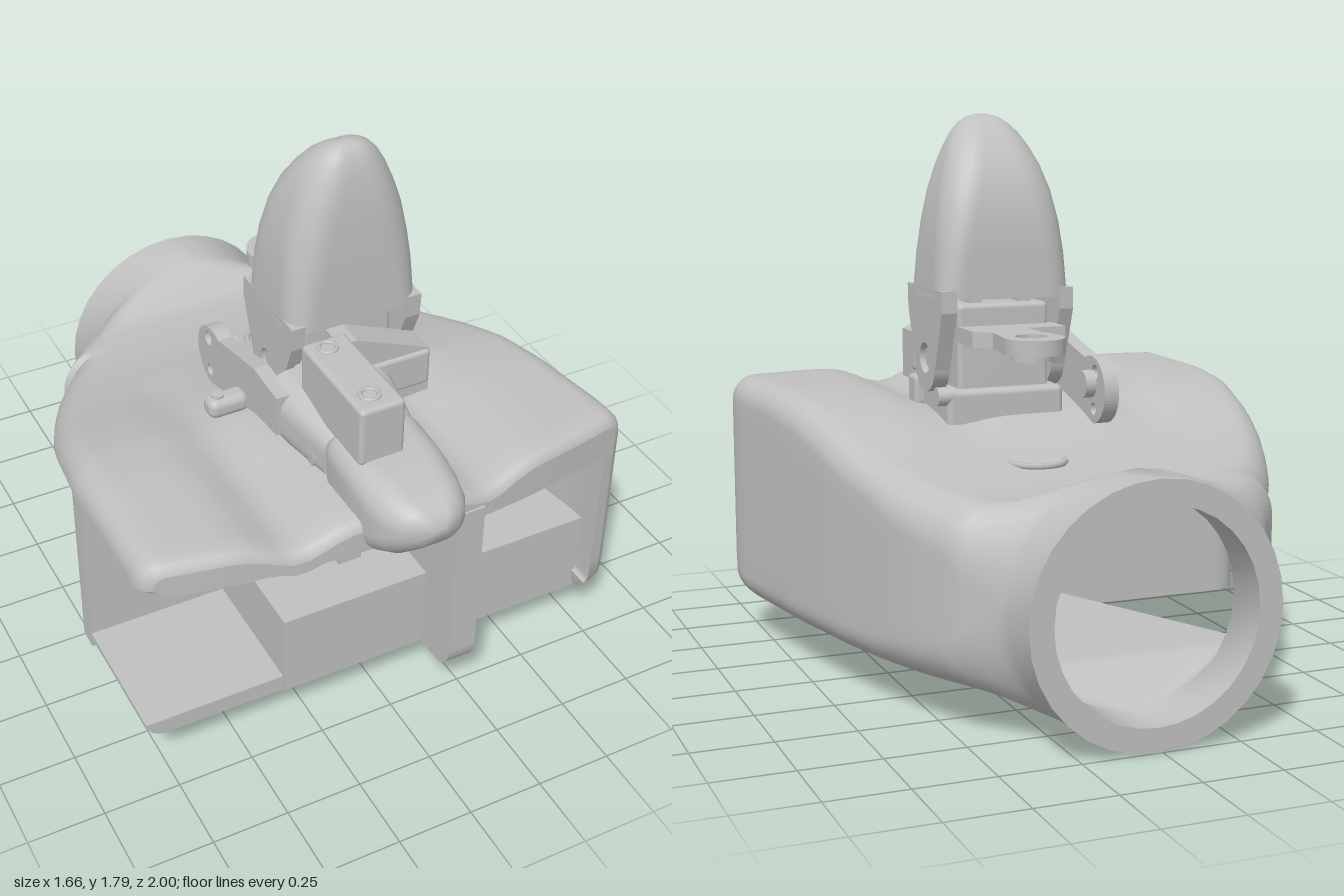
import * as THREE from 'three';
import { toCreasedNormals } from 'three/addons/utils/BufferGeometryUtils.js';
import { RoundedBoxGeometry } from 'three/addons/geometries/RoundedBoxGeometry.js';

const grey = new THREE.MeshStandardMaterial({ color: 0xc0c0c0, side: THREE.DoubleSide });
grey.name = 'light grey plastic';

const clamp = (v) => Math.min(1, Math.max(0, v));

// linear lookup in a short list of [position, value]
function at(table, t) {
  if (t <= table[0][0]) return table[0][1];
  for (let i = 1; i < table.length; i++) {
    const [a, va] = table[i - 1], [b, vb] = table[i];
    if (t <= b) return va + (vb - va) * (t - a) / (b - a);
  }
  return table[table.length - 1][1];
}

// rounded rectangle loop, clockwise from the upper left corner
const ARC = 8, SIDES = [32, 8, 12, 4];
function loop(x0, x1, y0, y1, r) {
  r = Math.min(r, (x1 - x0) / 2, (y1 - y0) / 2);
  const c = [[x0 + r, y1 - r], [x1 - r, y1 - r], [x1 - r, y0 + r], [x0 + r, y0 + r]];
  const corner = (k, i) => {
    const a = Math.PI - k * Math.PI / 2 - (i / ARC) * Math.PI / 2;
    return [c[k % 4][0] + r * Math.cos(a), c[k % 4][1] + r * Math.sin(a)];
  };
  const pts = [];
  for (let k = 0; k < 4; k++) {
    for (let i = 0; i <= ARC; i++) pts.push(corner(k, i));
    const a = corner(k, ARC), b = corner((k + 1) % 4, 0);
    for (let i = 1; i < SIDES[k]; i++) {
      const t = i / SIDES[k];
      pts.push([a[0] + (b[0] - a[0]) * t, a[1] + (b[1] - a[1]) * t]);
    }
  }
  return pts;
}

function fromTriangles(pos) {
  const g = new THREE.BufferGeometry();
  g.setAttribute('position', new THREE.Float32BufferAttribute(pos, 3));
  return toCreasedNormals(g, 0.7);
}
const quad = (out, a, b, c, d) => out.push(...a, ...b, ...c, ...a, ...c, ...d);

// closed solid through rounded sections [z, x0, x1, y0, y1, r]
function loft(sections) {
  const out = [];
  const rings = sections.map(([z, ...s]) => loop(...s).map(([x, y]) => [x, y, z]));
  const n = rings[0].length;
  for (let i = 0; i + 1 < rings.length; i++)
    for (let j = 0; j < n; j++) {
      const k = (j + 1) % n;
      quad(out, rings[i][j], rings[i + 1][j], rings[i + 1][k], rings[i][k]);
    }
  [0, rings.length - 1].forEach((e) => {
    const [z, x0, x1, y0, y1] = sections[e], m = [(x0 + x1) / 2, (y0 + y1) / 2, z];
    for (let j = 0; j < n; j++) {
      const a = rings[e][j], b = rings[e][(j + 1) % n];
      out.push(...m, ...(e ? b : a), ...(e ? a : b));
    }
  });
  return fromTriangles(out);
}

// hollow palm: outer and inner skins with rims wherever the skin is cut away
const XL = [[-0.84, -0.38], [-0.8, -0.4], [-0.72, -0.475], [-0.68, -0.5], [-0.6, -0.565], [-0.575, -0.54], [-0.5, -0.605], [-0.4, -0.665], [-0.285, -0.715], [-0.17, -0.76], [-0.05, -0.79], [0.2, -0.83]];
const XR = [[-0.84, 0.41], [-0.8, 0.43], [-0.72, 0.51], [-0.68, 0.535], [-0.5, 0.61], [-0.13, 0.71], [0.19, 0.775], [0.69, 0.83]];
const YT = [[-0.84, 0.8], [-0.8, 0.775], [-0.72, 0.71], [-0.68, 0.7], [-0.55, 0.708], [-0.4, 0.73], [-0.2, 0.78], [0, 0.845], [0.15, 0.882], [0.35, 0.9]];
const YB = [[-0.84, 0.005], [-0.8, 0.035], [-0.72, 0.115], [-0.68, 0.14]];
const RAD = [[-0.84, 0.397], [-0.68, 0.15], [-0.3, 0.1], [0.82, 0.08]];
const THICK = [[-0.84, 0.075], [-0.7, 0.05], [-0.4, 0.05], [0, 0.075]];
function palmShell() {
  const CUT = -0.58, out = [];
  const zs = [-1, -0.84, -0.82, -0.8, -0.76, -0.72, -0.7, -0.68, -0.63, -0.6, CUT];
  for (let i = 1; i <= 24; i++) zs.push(CUT + i * (0.78 - CUT) / 24);
  zs.push(0.8, 0.813, 0.82);
  const skin = (z, t, ceiling) => loop(at(XL, z) + t, at(XR, z) - t, at(YB, z) + t, at(YT, z) - t, Math.max(at(RAD, z) - t, 0.015))
    .map(([x, y]) => {
      const g = (c) => Math.exp(-(((x - c) / 0.11) ** 2));
      const dip = y > 0.5 ? 0.06 * (g(-0.36) + g(0.28)) * clamp((z + 0.3) / 0.7) : 0;
      const bow = 0.1 * (x / 0.83) ** 2 + 0.08 * clamp((0.26 - y) / 0.12) ** 2;
      return [x, Math.min(y - dip, ceiling(x)), z - bow * clamp((z - 0.2) / 0.6)];
    });
  const edge = [[0.78, 0], [0.8, 0.006], [0.813, 0.016], [0.82, 0.035]];
  const outer = zs.map((z) => skin(z, at(edge, z), () => 1));
  const inner = zs.map((z) => skin(z, at(THICK, z), (x) => (x < 0.2 ? 0.785 : 0.755)));
  const n = outer[0].length, kept = ARC * 3 + SIDES[0] + SIDES[1];
  const keep = (i, j) => i >= 0 && i < zs.length - 1 && (zs[i] < CUT - 0.001 || (j + n) % n < kept);
  for (let i = 0; i < zs.length - 1; i++)
    for (let j = 0; j < n; j++) {
      if (!keep(i, j)) continue;
      const k = (j + 1) % n;
      quad(out, outer[i][j], outer[i + 1][j], outer[i + 1][k], outer[i][k]);
      quad(out, inner[i][k], inner[i + 1][k], inner[i + 1][j], inner[i][j]);
      const rim = (a, b, c, d) => quad(out, outer[a][b], inner[a][b], inner[c][d], outer[c][d]);
      if (!keep(i - 1, j)) rim(i, j, i, k);
      if (!keep(i + 1, j)) rim(i + 1, k, i + 1, j);
      if (!keep(i, j - 1)) rim(i + 1, j, i, j);
      if (!keep(i, j + 1)) rim(i, k, i + 1, k);
    }
  return fromTriangles(out);
}

const polygon = (pts) => new THREE.Shape(pts.map((p) => new THREE.Vector2(...p)));
function hole(shape, x, y, r) {
  shape.holes.push(new THREE.Path().absarc(x, y, r, 0, Math.PI * 2, true));
  return shape;
}
const extrude = (shape, depth) => new THREE.ExtrudeGeometry(shape, { depth, bevelEnabled: false, curveSegments: 20 });
// profile in (z, y), running across x0..x1
const across = (shape, x0, x1) => extrude(shape, x1 - x0).rotateY(-Math.PI / 2).translate(x1, 0, 0);
// profile in (x, z), between heights y0..y1
const slab = (shape, y0, y1) => extrude(shape, y1 - y0).rotateX(Math.PI / 2).translate(0, y1, 0);
const box = (x0, x1, y0, y1, z0, z1, r = 0) =>
  (r ? new RoundedBoxGeometry(x1 - x0, y1 - y0, z1 - z0, 3, r) : new THREE.BoxGeometry(x1 - x0, y1 - y0, z1 - z0))
    .translate((x0 + x1) / 2, (y0 + y1) / 2, (z0 + z1) / 2);
const rod = (r, h, x, y, z, axis = 'y') => {
  const g = new THREE.CylinderGeometry(r, r, h, 24);
  if (axis === 'x') g.rotateZ(Math.PI / 2);
  return g.translate(x, y, z);
};

export function createModel() {
  const model = new THREE.Group();
  model.name = 'mechanicalHand';
  const add = (name, geometry) => {
    const m = new THREE.Mesh(geometry, grey);
    m.name = name;
    model.add(m);
  };

  // palm with its floor, inner wall and front tray
  add('palmShell', palmShell());
  const rightEdge = [0.62, 0.19, -0.13, -0.5, -0.6].map((z) => [at(XR, z) - at(RAD, z) + 0.03, z]);
  add('palmFloor', slab(polygon([[-0.44, -0.6], [-0.1, 0.15], [-0.1, 0.65], ...rightEdge]), 0.143, 0.19));
  const plate = new THREE.Shape();
  plate.moveTo(-0.81, 0.2).quadraticCurveTo(-0.8, 0.142, -0.73, 0.142).lineTo(0, 0.142).lineTo(0, 0.2);
  add('frontPlate', extrude(plate, 0.52).translate(0, 0, 0.13));
  const wall = new THREE.Shape();
  wall.moveTo(0.7, 0.2).lineTo(-0.81, 0.2).lineTo(-0.81, 0.15).quadraticCurveTo(-0.81, 0.06, -0.7, 0.06).lineTo(0.7, 0.06);
  add('innerWall', slab(wall, 0.143, 0.82));
  add('frontTray', slab(polygon([[-0.34, 0.18], [0.68, 0.18], [0.755, 0.62], [0.755, 0.66], [-0.34, 0.66]]), 0.145, 0.44));
  add('trayLedge', box(-0.47, -0.3, 0.72, 0.8, 0.2, 0.6));
  const rib = new THREE.Shape();
  rib.moveTo(0.15, 0.137).lineTo(0.72, 0.137).quadraticCurveTo(0.82, 0.14, 0.82, 0.24).lineTo(0.82, 0.8).lineTo(0.15, 0.8);
  add('frontRib', across(rib, 0.165, 0.26));
  add('rightPeg', rod(0.033, 0.22, 0.295, 0.66, 0.45));
  add('middlePeg', box(-0.065, 0.015, 0.43, 0.8, 0.42, 0.5));
  add('middlePegCollar', rod(0.05, 0.13, -0.025, 0.66, 0.46));

  // upright finger segment: [height, half width, back z, front z, corner radius]
  add('upperFinger', loft([
    [1.21, 0.226, -0.05, 0.29, 0.07], [1.35, 0.218, -0.05, 0.288, 0.085], [1.45, 0.206, -0.045, 0.285, 0.095],
    [1.55, 0.187, -0.025, 0.28, 0.1], [1.63, 0.162, 0.005, 0.273, 0.1], [1.69, 0.137, 0.045, 0.264, 0.095],
    [1.735, 0.11, 0.085, 0.253, 0.08], [1.765, 0.082, 0.125, 0.24, 0.057], [1.783, 0.054, 0.158, 0.225, 0.033], [1.792, 0.02, 0.185, 0.205, 0.01],
  ].map(([y, w, back, front, r]) => [y, 0.098 - w, 0.098 + w, -front, -back, r])).rotateX(-Math.PI / 2));
  const cheek = () => {
    const s = new THREE.Shape();
    s.moveTo(-0.05, 1.24).lineTo(-0.05, 1.17).lineTo(0.02, 0.98);
    s.absarc(0.12, 1.0, 0.1, Math.PI, Math.PI * 2, false);
    s.lineTo(0.285, 1.16).lineTo(0.29, 1.24);
    return hole(s, 0.12, 1.01, 0.05);
  };
  [[-0.127, -0.08], [0.272, 0.323]].forEach(([a, b], i) => add(i ? 'leftFingerCheek' : 'rightFingerCheek', across(cheek(), a, b)));
  add('fingerPivot', rod(0.035, 0.425, 0.096, 1.01, 0.12, 'x'));
  add('knuckleBlock', box(-0.06, 0.25, 0.84, 1.19, 0.0, 0.23, 0.015));
  [-0.02, 0.15].forEach((x) => add('knuckleTab', box(x, x + 0.045, 1.15, 1.235, 0.05, 0.12)));
  add('knuckleBase', box(-0.1, 0.3, 0.78, 0.92, -0.04, 0.28, 0.02));
  add('baseScrew', rod(0.03, 0.06, 0.3, 0.9, -0.01, 'x'));
  add('sideLug', box(0.26, 0.33, 0.84, 0.94, 0.2, 0.28, 0.015));

  // bracket in front of the knuckle, sloping down to the left
  add('slopedBracket', extrude(polygon([[0.0, 0.92], [0.2, 0.91], [0.32, 0.92], [0.32, 1.08], [0.06, 1.19], [0.0, 1.19]]), 0.1).translate(0, 0, 0.26));
  add('bracketBar', box(-0.1, 0.32, 0.95, 1.08, 0.23, 0.37, 0.015));

  // forward finger segment and its tapered link
  add('forwardFinger', loft([
    [0.575, -0.155, 0.145, 0.83, 1.045, 0.06], [0.6, -0.165, 0.15, 0.81, 1.05, 0.07],
    [0.75, -0.165, 0.15, 0.75, 1.043, 0.08], [0.83, -0.16, 0.145, 0.775, 1.035, 0.09],
    [0.9, -0.145, 0.13, 0.815, 1.022, 0.085], [0.95, -0.115, 0.1, 0.86, 1.008, 0.07],
    [0.98, -0.08, 0.065, 0.895, 0.99, 0.045], [0.998, -0.03, 0.015, 0.935, 0.955, 0.01],
  ]));
  add('forwardLink', loft([[0.27, -0.215, 0.185, 0.86, 1.085, 0.09], [0.38, -0.2, 0.18, 0.86, 1.075, 0.08], [0.565, -0.16, 0.15, 0.86, 1.035, 0.06]]));
  add('linkPin', rod(0.035, 0.335, -0.005, 0.92, 0.49, 'x'));

  // block above the forward link, with two screws
  add('topBlock', box(-0.13, 0.02, 1.03, 1.23, 0.35, 0.73, 0.015));
  [0.4, 0.66].forEach((z) => add('topBlockScrew', new THREE.TorusGeometry(0.028, 0.007, 8, 24).rotateX(Math.PI / 2).translate(-0.065, 1.23, z)));

  // side lever with a round rear end
  const lever = new THREE.Shape();
  lever.moveTo(0.36, 1.06).lineTo(0.2, 1.07).lineTo(-0.06, 1.01);
  lever.absarc(-0.11, 0.91, 0.11, 1.1, 5.0, false);
  lever.lineTo(0.2, 0.9).lineTo(0.36, 0.92);
  hole(hole(lever, -0.14, 0.97, 0.025), -0.13, 0.85, 0.02);
  add('sideLever', across(lever, -0.215, -0.165));
  add('leverScrew', rod(0.045, 0.04, -0.15, 0.93, -0.11, 'x'));
  add('sidePin', box(-0.34, -0.2, 0.865, 0.935, 0.075, 0.15, 0.028));
  add('sidePinHead', rod(0.02, 0.012, -0.3, 0.936, 0.112));

  // rear arm ending in an eyelet
  const arm = new THREE.Shape();
  arm.moveTo(0.05, 0.02).lineTo(0.05, -0.2).lineTo(0.025, -0.32);
  arm.absarc(0.12, -0.325, 0.095, Math.PI, Math.PI * 2, false);
  arm.lineTo(0.2, -0.18).lineTo(0.25, -0.13).lineTo(0.25, 0.02);
  add('rearArm', slab(hole(arm, 0.12, -0.3, 0.05), 1.07, 1.12));
  add('rearCrossbar', box(-0.08, 0.25, 1.07, 1.12, -0.1, 0.02));
  const boss = hole(new THREE.Shape().absarc(0.12, -0.3, 0.065, 0, Math.PI * 2, false), 0.12, -0.3, 0.05);
  add('eyeletBoss', slab(boss, 1.045, 1.075));

  // small raised crescent on the back of the palm
  add('crescentRidge', new THREE.TorusGeometry(0.09, 0.01, 6, 20, Math.PI).rotateX(-Math.PI / 2).translate(0.12, 0.738, -0.34));
  return model;
}
